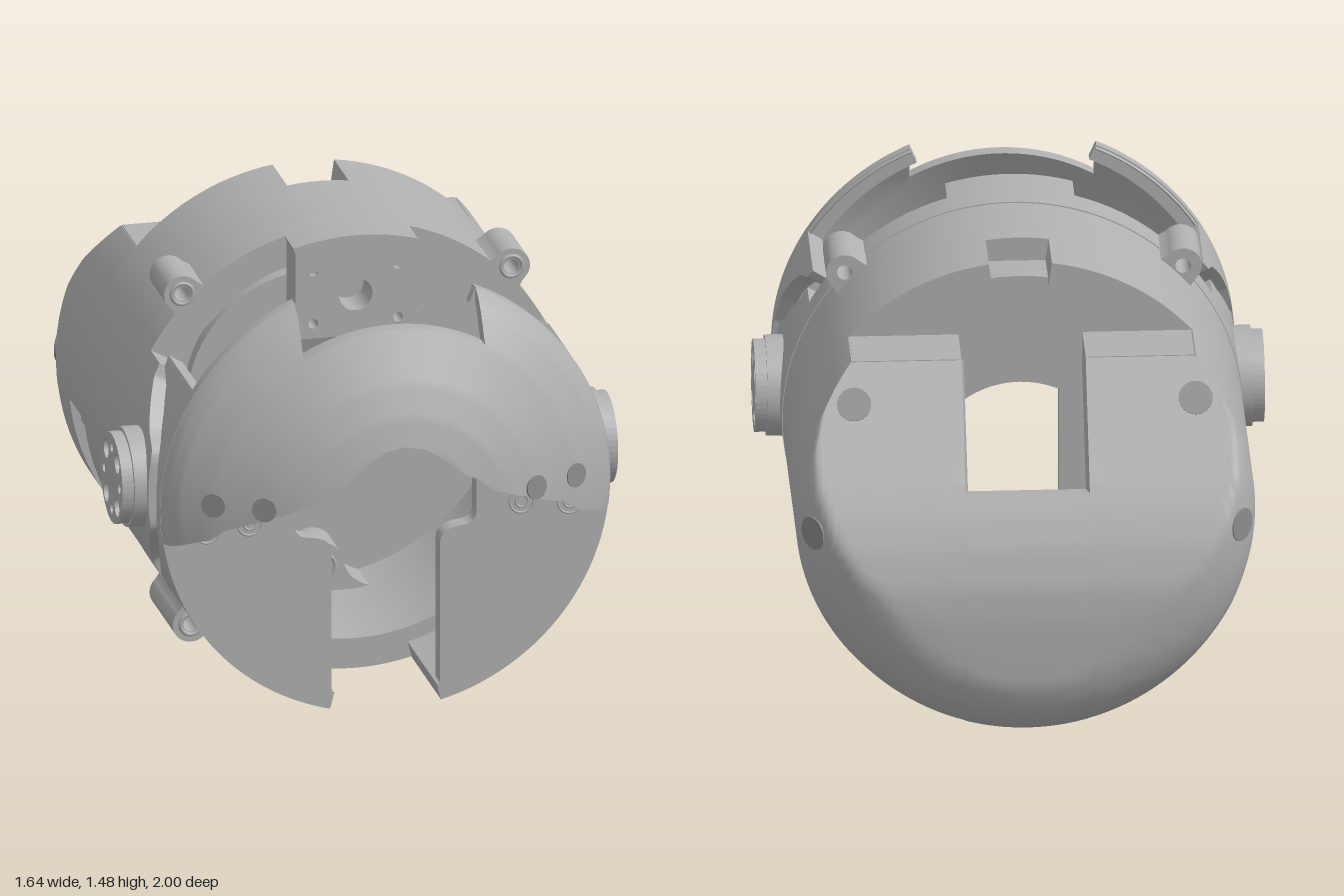
import * as THREE from 'three';
import { toCreasedNormals } from 'three/addons/utils/BufferGeometryUtils.js';

const CY = 0.75; // height of the housing axis, which runs along z
const grey = new THREE.MeshStandardMaterial({ color: 0xb0b0b0, side: THREE.DoubleSide });
grey.name = 'satinGrey';
const dark = new THREE.MeshStandardMaterial({ color: 0x8c8c8c, side: THREE.DoubleSide });
dark.name = 'recessGrey';

// Linear lookup in a short list of [key, value] pairs, keys rising
function lerp(pts, k) {
  if (k <= pts[0][0]) return pts[0][1];
  for (let i = 1; i < pts.length; i++) {
    const [a, va] = pts[i - 1], [b, vb] = pts[i];
    if (k <= b) return va + (vb - va) * (k - a) / (b - a);
  }
  return pts[pts.length - 1][1];
}

// Closed curved slab: map(u, v, side) gives a point, u and v run 0..1, side is 0 outside or 1 inside
function slab(nu, nv, map) {
  const pos = [], idx = [];
  const grid = (n, m, f) => {
    const base = pos.length / 3;
    for (let i = 0; i <= n; i++) for (let j = 0; j <= m; j++) pos.push(...f(i / n, j / m));
    for (let i = 0; i < n; i++) for (let j = 0; j < m; j++) {
      const a = base + i * (m + 1) + j, b = a + m + 1;
      idx.push(a, b, a + 1, b, b + 1, a + 1);
    }
  };
  grid(nu, nv, (u, v) => map(u, v, 0));
  grid(nu, nv, (u, v) => map(u, 1 - v, 1));
  for (const e of [0, 1]) {
    grid(nu, 1, (u, s) => map(u, e, e ? s : 1 - s));
    grid(1, nv, (s, v) => map(e, v, e ? s : 1 - s));
  }
  const g = new THREE.BufferGeometry();
  g.setAttribute('position', new THREE.Float32BufferAttribute(pos, 3));
  g.setIndex(idx);
  g.computeVertexNormals();
  return g;
}

// Piece of tube wall on the +x side between two heights, with z limits that depend on height
function wall(yTop, yBot, zBack, zFront, ro, ri, n = 32) {
  const ang = y => Math.acos(Math.max(-1, Math.min(1, (y - CY) / ro)));
  const a0 = ang(yTop), a1 = ang(yBot);
  return slab(n, 1, (u, v, s) => {
    const a = a0 + (a1 - a0) * u, r = s ? ri : ro, y = CY + ro * Math.cos(a);
    const z0 = zBack(y), z1 = zFront(y);
    return [r * Math.sin(a), CY + r * Math.cos(a), z0 + (z1 - z0) * v];
  });
}

// Curved end cover: columns of x, each running between two heights, with depth z(x, y)
function cover(x0, x1, lo, hi, z, inset, shrink) {
  return slab(28, 28, (u, v, s) => {
    const x = x0 + (x1 - x0) * Math.sin(u * Math.PI / 2);
    const y = lo(x) + (hi(x) - lo(x)) * v, k = s ? shrink : 1;
    return [x * k, CY + (y - CY) * k, z(x, y) + s * inset];
  });
}

function extrude(shape, depth) {
  return new THREE.ExtrudeGeometry(shape, { depth, bevelEnabled: false, curveSegments: 24 });
}
const poly = pts => new THREE.Shape(pts.map(p => new THREE.Vector2(...p)));
const hole = (shape, x, y, r) => shape.holes.push(new THREE.Path().absarc(x, y, r, 0, Math.PI * 2, true));
const circle = (x, r) => Math.sqrt(Math.max(0, r * r - x * x));
const k = c => () => c;

// Depth of the front visor and the rear shell
const visorProfile = [[0.25, 1], [0.35, 0.975], [0.45, 0.935], [0.61, 0.85], [0.7, 0.785], [0.73, 0.75], [0.745, 0.72]];
const visorZ = (x, y) => lerp(visorProfile, Math.hypot(x, y - CY));
const visorEdge = x => lerp([[0, 1.01], [0.07, 0.995], [0.14, 0.95], [0.2, 0.895], [0.24, 0.88], [0.3, 0.83],
  [0.56, 0.73], [0.61, 0.69], [0.72, 0.645]], x);
const shellProfile = [[0.4, -1], [0.5, -0.995], [0.58, -0.965], [0.64, -0.92], [0.7, -0.84], [0.73, -0.77], [0.74, -0.71]];
const slopeProfile = [[0.5, -1], [0.6, -0.99], [0.72, -0.95], [0.82, -0.9], [0.906, -0.845], [1.245, -0.6]];
const shellZ = (x, y) => Math.max(lerp(shellProfile, Math.hypot(x, y - CY)), lerp(slopeProfile, y));
const shellRim = y => Math.max(-0.71, lerp(slopeProfile, y));

// Rear edge of the cheeks and front edge of the pivot ears, by height
const cheekRear = y => lerp([[0.29, 0.33], [0.36, 0.35], [0.42, 0.4], [0.45, 0.46], [0.5, 0.54], [0.57, 0.61], [0.65, 0.66],
  [0.75, 0.675], [0.85, 0.66], [0.95, 0.62], [1.03, 0.55], [1.09, 0.47], [1.12, 0.38], [1.15, 0.36]], y);
const earFront = y => lerp([[0.4, 0.32], [0.44, 0.33], [0.55, 0.45], [0.58, 0.5], [0.63, 0.545], [0.66, 0.55],
  [0.86, 0.55], [0.9, 0.54], [0.92, 0.5], [0.94, 0.46], [1.07, 0.33], [1.11, 0.32]], y);

function half(sign) {
  const g = new THREE.Group();
  g.name = sign > 0 ? 'leftHalf' : 'rightHalf';
  g.scale.x = sign;
  const add = (name, geo, x = 0, y = 0, z = 0, mat = grey) => {
    const m = new THREE.Mesh(geo, mat);
    m.name = name;
    m.position.set(x, y, z);
    g.add(m);
    return m;
  };
  const box = (name, x0, x1, y0, y1, z0, z1) =>
    add(name, new THREE.BoxGeometry(x1 - x0, y1 - y0, z1 - z0), (x0 + x1) / 2, (y0 + y1) / 2, (z0 + z1) / 2);
  // Thin disc lying on a curved cover
  const spot = (name, f, x, y, r) => {
    const e = 0.01, dir = Math.sign(f(x, y));
    const n = new THREE.Vector3(f(x - e, y) - f(x + e, y), f(x, y - e) - f(x, y + e), 2 * e).multiplyScalar(dir).normalize();
    const m = add(name, new THREE.CylinderGeometry(r, r, 0.008, 24), x, y, f(x, y), dark);
    m.quaternion.setFromUnitVectors(new THREE.Vector3(0, 1, 0), n);
  };

  // Main ring with a notch at the top rear
  add('mainRing', wall(1.49, 1.483, k(-0.2), k(0.085), 0.74, 0.66, 4));
  add('mainRing', wall(1.483, 0.66, k(-0.4), k(0.085), 0.74, 0.66));
  add('mainRing', wall(0.66, 0.01, k(-0.35), k(0.085), 0.74, 0.66));
  box('notchShelf', 0, 0.1, 1.37, 1.41, -0.31, -0.2);

  // Front ring, its top tab and pivot ears
  add('frontRing', wall(1.492, 1.463, k(0.09), k(0.32), 0.742, 0.64, 8));
  add('frontRing', wall(1.463, 1.11, k(0.09), k(0.2), 0.742, 0.64));
  add('pivotEar', wall(1.11, 0.4, k(0.09), earFront, 0.742, 0.655, 60));
  add('frontRing', wall(0.4, 0.008, k(0.09), k(0.32), 0.742, 0.64));

  // Screw lugs on the diagonals
  for (const top of [1, -1]) {
    const s = new THREE.Shape();
    s.moveTo(-0.14, -0.12);
    s.quadraticCurveTo(-0.05, -0.065, 0, -0.06);
    s.absarc(0, 0, 0.06, -Math.PI / 2, Math.PI / 2, false);
    s.quadraticCurveTo(-0.05, 0.065, -0.14, 0.12);
    hole(s, 0, 0, 0.025);
    const m = add('screwLug', extrude(s, top > 0 ? 0.2 : 0.32), 0.545, CY + top * 0.545, 0);
    m.rotation.z = top * Math.PI / 4;
    add('screwCollar', new THREE.TorusGeometry(0.035, 0.007, 6, 24), 0.545, CY + top * 0.545, top > 0 ? 0.2 : 0.32);
  }

  // Pivot hub with a drilled face
  const hub = new THREE.Shape().absarc(0, 0, 0.15, 0, Math.PI * 2);
  for (let i = 0; i < 8; i++) {
    const a = i * Math.PI / 4;
    hole(hub, 0.105 * Math.cos(a), 0.105 * Math.sin(a), i % 2 ? 0.032 : 0.017);
  }
  add('hubFace', extrude(hub, 0.04).rotateY(Math.PI / 2), 0.78, CY, 0.37);
  add('hubBase', new THREE.CylinderGeometry(0.163, 0.163, 0.12, 48).rotateZ(Math.PI / 2), 0.722, CY, 0.37);

  // Visor: domed front, top horn, side cheek and thick lower lip
  const top = x => CY + circle(x, 0.745), bottom = x => Math.max(visorEdge(x), CY - circle(x, 0.745));
  add('visorDome', cover(0, 0.3, visorEdge, x => CY + circle(x, 0.61), visorZ, -0.05, 1));
  add('visorDome', cover(0.3, 0.744, bottom, top, visorZ, -0.05, 0.99));
  add('visorHorn', wall(1.432, 1.15, k(0.685), k(0.72), 0.745, 0.69));
  add('visorCheek', wall(1.15, 0.65, cheekRear, k(0.722), 0.745, 0.69, 60));
  add('visorLip', slab(24, 4, (u, v, s) => {
    const x = 0.3 + 0.42 * u, y = bottom(x) + 0.04 * v;
    return [x, y, s ? 0.7 : visorZ(x, y) - 0.002];
  }));

  // Lower jaw: flat front plate and curved side wall
  const jaw = new THREE.Shape();
  jaw.moveTo(0.18, 0.06);
  jaw.lineTo(0.2, 0.038);
  jaw.absarc(0, CY, 0.74, Math.atan2(-0.712, 0.2), Math.atan2(-0.1, 0.733), false);
  for (const p of [[0.6, 0.71], [0.3, 0.835], [0.3, 0.66]]) jaw.lineTo(...p);
  jaw.quadraticCurveTo(0.295, 0.63, 0.26, 0.625);
  jaw.quadraticCurveTo(0.18, 0.62, 0.18, 0.57);
  add('jawPlate', extrude(jaw, 0.06), 0, 0, 0.67);
  add('jawWall', wall(0.65, 0.031, cheekRear, k(0.728), 0.742, 0.685, 60));
  box('jawBracket', 0.38, 0.6, 0.63, 0.87, 0.61, 0.67);
  for (const x of [0.45, 0.6]) {
    spot('visorScrew', visorZ, x, 0.81, 0.04);
    for (const r of [0.04, 0.02])
      add('jawScrew', new THREE.TorusGeometry(r, 0.004, 6, 24), x, 0.69, x > 0.5 ? 0.77 : 0.73);
  }

  // Rear shell: domed and sloped cover, side wall and roof beside the notch
  add('rearCover', cover(0, 0.2, x => CY - circle(x, 0.74), k(0.875), shellZ, 0.05, 0.95));
  add('rearCover', cover(0.2, 0.7395, x => CY - circle(x, 0.74), x => Math.min(1.24, CY + circle(x, 0.74)), shellZ, 0.05, 0.95));
  add('rearWall', wall(1.24, 0.68, shellRim, k(-0.4), 0.74, 0.69));
  add('rearWall', wall(0.68, 0.01, shellRim, k(-0.55), 0.74, 0.69));
  box('rearRoof', 0.2, 0.55, 1.19, 1.241, -0.605, -0.4);
  const cheek = poly([[0.4, 1.24], [0.6, 1.24], [0.85, 0.9], [0.865, 0.875], [0.77, 0.875], [0.6, 1.06], [0.4, 1.06]]);
  add('notchWall', extrude(cheek, 0.04).rotateY(Math.PI / 2), 0.2, 0, 0);
  spot('shellScrew', shellZ, 0.55, 1.125, 0.055);
  spot('shellScrew', shellZ, 0.69, 0.75, 0.055);
  return g;
}

export function createModel() {
  const model = new THREE.Group();
  model.name = 'cylindricalHousing';
  model.add(half(1), half(-1));
  const add = (name, geo, x, y, z) => {
    const m = new THREE.Mesh(geo, grey);
    m.name = name;
    m.position.set(x, y, z);
    model.add(m);
  };

  // Stepped bulkhead inside the ring
  const steps = [[0.3, -0.35], [0.3, -0.25], [0.42, -0.25], [0.42, -0.3], [0.67, -0.3], [0.67, -0.35], [0.3, -0.35]];
  const plate = new THREE.LatheGeometry(steps.map(p => new THREE.Vector2(...p)), 64).rotateX(Math.PI / 2);
  add('bulkhead', toCreasedNormals(plate, 0.6), 0, CY, 0);

  // Drilled mounting block under the top tab
  const block = poly([[-0.2, 1.15], [0.2, 1.15], [0.2, 1.46], [-0.2, 1.46]]);
  hole(block, 0, 1.29, 0.055);
  for (const x of [-0.14, 0.14]) for (const y of [1.2, 1.38]) hole(block, x, y, 0.016);
  add('mountBlock', extrude(block, 0.12), 0, 0, 0.2);

  // Screw boss at the bottom of the ring
  const boss = new THREE.Shape();
  boss.moveTo(-0.19, 0.1);
  boss.quadraticCurveTo(-0.09, 0.12, -0.075, 0.19);
  boss.absarc(0, 0.19, 0.075, Math.PI, 0, true);
  boss.quadraticCurveTo(0.09, 0.12, 0.19, 0.1);
  hole(boss, 0, 0.185, 0.02);
  add('screwBoss', extrude(boss, 0.15), 0, 0, -0.3);
  add('bossCollar', new THREE.TorusGeometry(0.045, 0.006, 6, 24), 0, 0.185, -0.15);
  return model;
}
